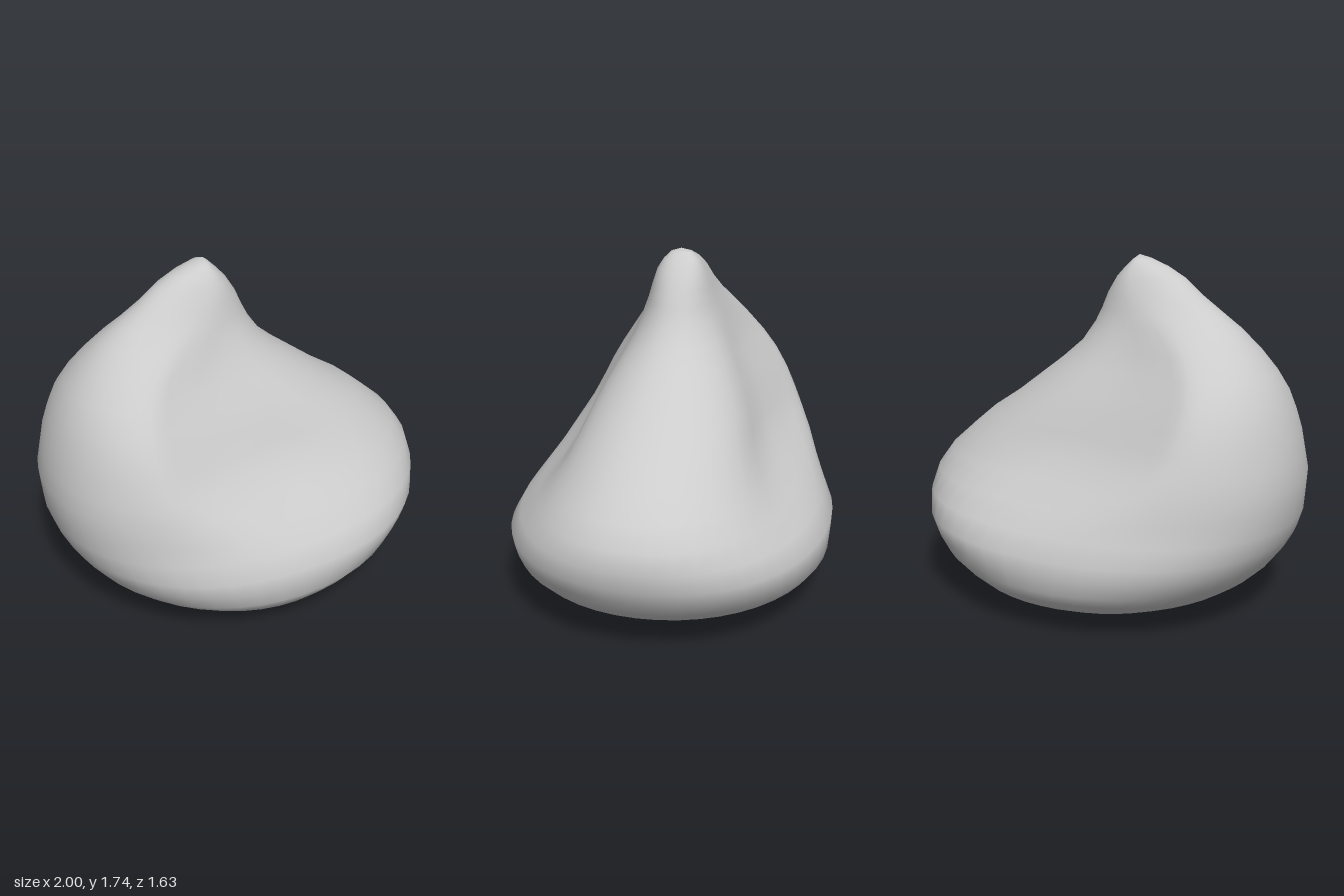
import * as THREE from 'three';

// Horizontal sections from bottom to top: [y, xMin, xMax, half depth, x of widest point]
const SECTIONS = [
  [0.008, -0.18, 0.2, 0.2, 0],
  [0.027, -0.37, 0.38, 0.4, 0],
  [0.06, -0.55, 0.56, 0.57, 0],
  [0.13, -0.7, 0.73, 0.72, 0],
  [0.18, -0.775, 0.82, 0.765, 0],
  [0.24, -0.84, 0.885, 0.805, 0],
  [0.32, -0.9, 0.945, 0.812, 0],
  [0.4, -0.945, 0.98, 0.815, 0],
  [0.5, -0.98, 1, 0.765, -0.04],
  [0.6, -0.99, 0.98, 0.71, -0.16],
  [0.7, -1, 0.91, 0.66, -0.3],
  [0.8, -0.985, 0.8, 0.605, -0.42],
  [0.9, -0.97, 0.68, 0.555, -0.48],
  [1, -0.94, 0.53, 0.505, -0.51],
  [1.1, -0.905, 0.4, 0.445, -0.52],
  [1.2, -0.85, 0.27, 0.375, -0.5],
  [1.3, -0.775, 0.155, 0.3, -0.45],
  [1.4, -0.68, 0.085, 0.23, -0.36],
  [1.47, -0.59, 0.05, 0.185, -0.27],
  [1.55, -0.48, 0.015, 0.152, -0.19],
  [1.63, -0.385, -0.035, 0.122, -0.15],
  [1.68, -0.295, -0.08, 0.09, -0.15],
  [1.715, -0.2, -0.115, 0.055, -0.15],
];
const SEGMENTS = 48;
const { smoothstep } = THREE.MathUtils;

// Signed power, which rounds or squares an ellipse
const power = (v, e) => Math.sign(v) * Math.abs(v) ** e;

// Closed skin lofted through the sections, with a pole at each end
function loftBody() {
  const positions = [];
  const indices = [];
  for (const [y, xMin, xMax, depth, xWide] of SECTIONS) {
    // Hollow on both flanks between the tall ridge and the low front
    const hollow = 0.18 * smoothstep(y, 0.45, 0.85) * (1 - smoothstep(y, 1.2, 1.5));
    // Slightly squarer plan, fading out at the base and at the back of the ridge
    const square = 0.08 * smoothstep(y, 0.1, 0.4);
    const backSquare = square * (1 - smoothstep(y, 0.6, 0.9));
    for (let i = 0; i < SEGMENTS; i++) {
      const t = (i / SEGMENTS) * Math.PI * 2;
      const exponent = 1 - (Math.cos(t) > 0 ? square : backSquare);
      const c = power(Math.cos(t), exponent);
      const s = power(Math.sin(t), exponent);
      const fromFront = Math.min(t, Math.PI * 2 - t);
      const pinch = 1 - hollow * Math.exp(-(((fromFront - 1.25) / 0.36) ** 2));
      const reach = c > 0 ? xMax - xWide : xWide - xMin;
      positions.push(xWide + reach * c, y, depth * s * pinch);
    }
  }
  const rings = SECTIONS.length;
  const bottom = rings * SEGMENTS;
  const top = bottom + 1;
  positions.push(0, 0, 0, -0.14, 1.735, 0);

  for (let i = 0; i < SEGMENTS; i++) {
    const next = (i + 1) % SEGMENTS;
    indices.push(bottom, i, next);
    for (let r = 0; r < rings - 1; r++) {
      const a = r * SEGMENTS + i;
      const b = r * SEGMENTS + next;
      indices.push(a, a + SEGMENTS, b, b, a + SEGMENTS, b + SEGMENTS);
    }
    const last = (rings - 1) * SEGMENTS;
    indices.push(last + i, top, last + next);
  }

  const geometry = new THREE.BufferGeometry();
  geometry.setAttribute('position', new THREE.Float32BufferAttribute(positions, 3));
  geometry.setIndex(indices);
  geometry.computeVertexNormals();
  return geometry;
}

export function createModel() {
  const group = new THREE.Group();
  group.name = 'peakedBlob';
  const body = new THREE.Mesh(loftBody(), new THREE.MeshStandardMaterial({ color: 0xcccccc }));
  body.name = 'body';
  group.add(body);
  return group;
}
